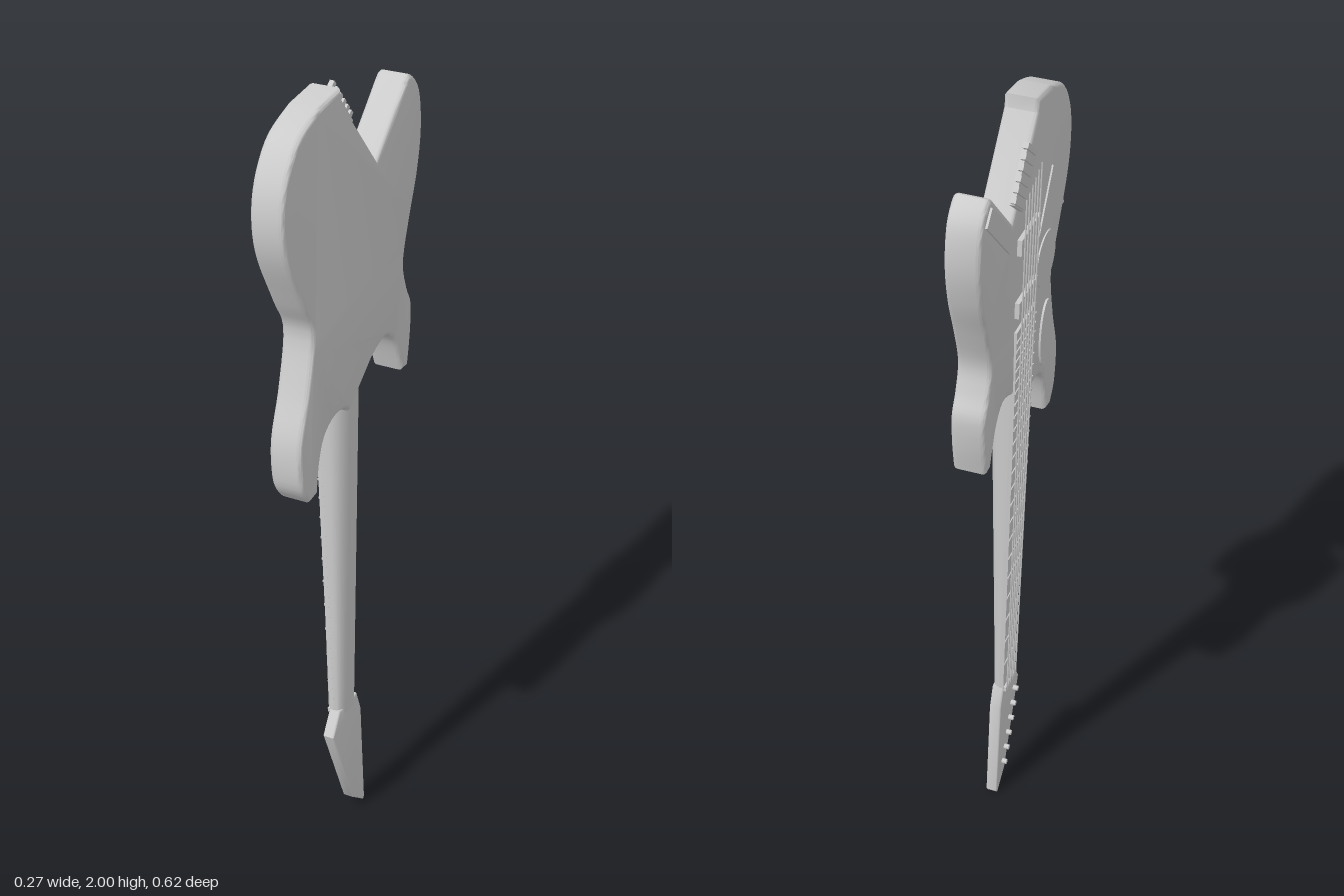
import * as THREE from 'three';
import { toCreasedNormals } from 'three/addons/utils/BufferGeometryUtils.js';

const material = new THREE.MeshStandardMaterial({ color: 0xcccccc });
const PIVOT = 1.75;   // height about which the instrument leans
const FRONT = 0.04;   // face of the body

export function createModel() {
  const model = new THREE.Group();
  model.name = 'electricGuitar';
  // turned about the vertical, then leaned back slightly
  const turn = new THREE.Group();
  turn.name = 'turn';
  turn.rotation.y = -1.282;
  const lean = new THREE.Group();
  lean.name = 'lean';
  lean.position.set(0, PIVOT, 0.004);
  lean.rotation.x = 0.035;
  const guitar = new THREE.Group();
  guitar.name = 'guitar';
  guitar.position.y = -PIVOT;
  model.add(turn);
  turn.add(lean);
  lean.add(guitar);

  const add = (name, geometry, x = 0, y = 0, z = 0, rz = 0, parent = guitar) => {
    const mesh = new THREE.Mesh(geometry, material);
    mesh.name = name;
    mesh.position.set(x, y, z);
    mesh.rotation.z = rz;
    parent.add(mesh);
    return mesh;
  };
  const box = (w, h, d) => new THREE.BoxGeometry(w, h, d);
  const toShape = (pts) => new THREE.Shape(pts.map(([x, y]) => new THREE.Vector2(x, y)));
  const slab = (shape, depth, bevel) => toCreasedNormals(new THREE.ExtrudeGeometry(shape, {
    depth: depth - 2 * bevel, bevelEnabled: bevel > 0, bevelSize: bevel, bevelOffset: -bevel,
    bevelThickness: bevel, bevelSegments: 3, curveSegments: 24,
  }).translate(0, 0, bevel), 0.6);

  // skins rings of [x, z] points, counterclockwise from above, and closes both ends
  const loft = (ys, ringAt) => {
    const rings = ys.map(ringAt), n = rings[0].length, pos = [], idx = [];
    rings.forEach((r, j) => r.forEach(([x, z]) => pos.push(x, ys[j], z)));
    for (let j = 0; j < ys.length - 1; j++) {
      for (let i = 0; i < n; i++) {
        const a = j * n + i, b = j * n + (i + 1) % n;
        idx.push(a, b, b + n, a, b + n, a + n);
      }
    }
    const top = (ys.length - 1) * n;
    for (let i = 1; i < n - 1; i++) idx.push(0, i + 1, i, top, top + i, top + i + 1);
    const g = new THREE.BufferGeometry();
    g.setAttribute('position', new THREE.Float32BufferAttribute(pos, 3));
    g.setIndex(idx);
    return toCreasedNormals(g, 0.6);
  };

  // body: smooth runs joined at sharp corners
  const runs = [
    [[0.05, 2], [0.048, 1.968]],
    [[-0.1, 1.777], [-0.19, 1.862]],
    [[-0.235, 1.905], [-0.265, 1.92], [-0.307, 1.873], [-0.315, 1.777], [-0.292, 1.676], [-0.25, 1.576],
      [-0.217, 1.48], [-0.23, 1.41], [-0.251, 1.358], [-0.245, 1.28], [-0.227, 1.2]],
    [[-0.197, 1.2], [-0.165, 1.29], [-0.128, 1.326], [-0.091, 1.322], [-0.052, 1.305]],
    [[0.06, 1.22], [0.079, 1.236], [0.126, 1.241], [0.174, 1.215], [0.201, 1.162], [0.217, 1.088]],
    [[0.254, 1.082], [0.286, 1.135], [0.286, 1.24], [0.243, 1.353], [0.21, 1.485], [0.246, 1.57],
      [0.303, 1.698], [0.315, 1.793], [0.293, 1.878], [0.233, 1.952], [0.138, 1.99]],
  ];
  const outline = runs.flatMap((run) => (run.length < 3 ? run
    : new THREE.SplineCurve(run.map(([x, y]) => new THREE.Vector2(x, y)))
      .getPoints(run.length * 4).map((p) => [p.x, p.y])));
  add('body', slab(toShape(outline), 0.08, 0.01), 0, 0, -0.04);

  // neck measurements as functions of height
  const along = (y, atNut, atBody) => THREE.MathUtils.lerp(atNut, atBody, (y - 0.35) / 0.95);
  const centre = (y) => along(y, 0.044, 0.012);
  const half = (y) => along(y, 0.044, 0.065);
  const face = (y) => along(y, 0.03, 0.044);

  // neck with a rounded back
  add('neck', loft([0.34, 0.42, 0.9, 1.3, 1.4], (y) => {
    const f = face(y) - 0.01, depth = along(y, 0.022, 0.062);
    return Array.from({ length: 13 }, (_, i) => {
      const t = (i / 12) * Math.PI;
      return [centre(y) + half(y) * Math.cos(t), f - depth * Math.sin(t) ** 0.7];
    });
  }));
  add('fingerboard', loft([0.35, 1.48], (y) => {
    const c = centre(y), h = half(y), f = face(y);
    return [[c + h, f], [c + h, f - 0.011], [c - h, f - 0.011], [c - h, f]];
  }));
  for (let i = 0; i < 22; i++) {
    const y = 1.88 - 1.5 * 2 ** (-(i + 1) / 12);
    const fy = 0.36 + (1.88 - 0.36) * (1 - 2 ** (-(i + 1) / 12));
    if (y < 1.9) add('fret', box(2 * half(fy), 0.005, 0.005), centre(fy), fy, face(fy));
  }
  add('nut', box(0.086, 0.012, 0.018), 0.044, 0.355, 0.028);

  // headstock
  add('headstock', slab(toShape([[0.089, 0.36], [0.126, 0.302], [0.038, 0.048], [-0.015, 0.002],
    [-0.021, 0.01], [-0.018, 0.302], [0, 0.36]]), 0.03, 0.004), 0, 0, 0.001);
  for (let i = 0; i < 6; i++) {
    const post = new THREE.CylinderGeometry(0.007, 0.007, 0.016, 12).rotateX(Math.PI / 2);
    add('tuningPost', post, 0.015 + 0.014 * i, 0.09 + 0.04 * i, 0.036);
  }

  // strings from nut to bridge
  for (let i = 0; i < 6; i++) {
    const s = (i - 2.5) / 2.5;
    const path = new THREE.LineCurve3(
      new THREE.Vector3(0.044 + s * 0.034, 0.35, 0.037),
      new THREE.Vector3(-0.012 + s * 0.05, 1.84 + s * 0.02, 0.056));
    add('string', new THREE.TubeGeometry(path, 1, 0.002, 5));
  }

  // pickups under the strings
  for (const y of [1.54, 1.7]) add('pickup', box(0.13, 0.04, 0.012), -0.002, y, FRONT + 0.005);

  // angled bridge with saddle bars reaching past the notch
  const bridge = new THREE.Group();
  bridge.name = 'bridge';
  bridge.position.set(-0.062, 1.872, FRONT + 0.006);
  bridge.rotation.z = 0.92;
  guitar.add(bridge);
  add('bridgePlate', box(0.135, 0.085, 0.012), 0, 0, 0, 0, bridge);
  for (let i = 0; i < 6; i++) {
    add('saddle', box(0.013, 0.08, 0.012), (i - 2.5) * 0.0235, 0.02, 0.006, 0, bridge);
  }

  // control plate along the wing
  add('controlPlate', box(0.22, 0.045, 0.006), -0.195, 1.812, FRONT + 0.002, -0.75);

  // raised inlays on the face
  add('triangleInlay', slab(toShape([[0.08, 1.64], [0.265, 1.64], [0.165, 1.785]]), 0.005, 0),
    0, 0, FRONT - 0.001);
  add('roundInlay', new THREE.CylinderGeometry(0.068, 0.068, 0.005, 32).rotateX(Math.PI / 2),
    0.148, 1.555, FRONT + 0.001);
  const oval = new THREE.Shape().absellipse(0.172, 1.34, 0.042, 0.09, 0, Math.PI * 2);
  add('ovalInlay', slab(oval, 0.006, 0), 0, 0, FRONT - 0.001);

  return model;
}
